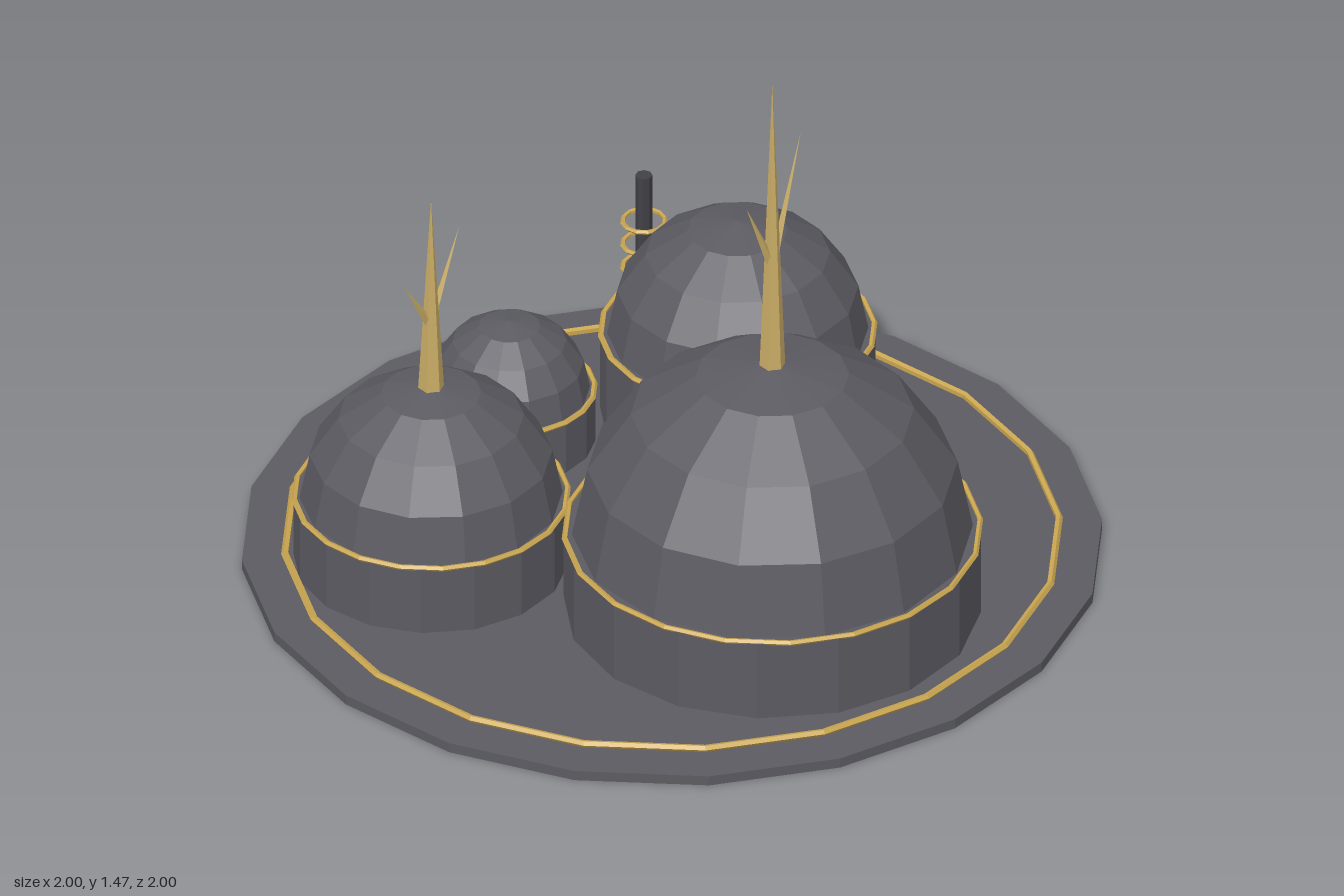
import * as THREE from 'three';

const mat = (name, color) => {
  const m = new THREE.MeshStandardMaterial({ color, flatShading: true });
  m.name = name;
  return m;
};

export function createModel() {
  const stone = mat('grey stone', 0x5c5b62);
  const dark = mat('dark metal', 0x404046);
  const gold = mat('gold trim', 0xcaa650);
  const pale = mat('pale gold', 0xc9ac66);
  const model = new THREE.Group();
  model.name = 'domedSettlement';

  const add = (parent, name, geometry, material, x = 0, y = 0, z = 0) => {
    const mesh = new THREE.Mesh(geometry, material);
    mesh.name = name;
    mesh.position.set(x, y, z);
    parent.add(mesh);
    return mesh;
  };
  const ring = (parent, name, radius, tube, sides, x, y, z) =>
    add(parent, name, new THREE.TorusGeometry(radius, tube, 5, sides).rotateX(Math.PI / 2), gold, x, y, z);

  // Ground plate and its inlaid ring
  add(model, 'basePlate', new THREE.CylinderGeometry(1, 1, 0.025, 20), stone, 0, 0.0125, 0);
  ring(model, 'baseRing', 0.9, 0.009, 20, 0, 0.037, 0);

  // Domed buildings: drum wall, half sphere and a gold band at the joint
  const building = (name, x, z, wallRadius, wallTop, domeRadius) => {
    const g = new THREE.Group();
    g.name = name;
    g.position.set(x, 0, z);
    model.add(g);
    const h = wallTop - 0.02;
    add(g, 'wall', new THREE.CylinderGeometry(wallRadius, wallRadius, h, 16), stone, 0, 0.02 + h / 2, 0);
    const dome = new THREE.SphereGeometry(domeRadius, 14, 4, 0, Math.PI * 2, 0, Math.PI / 2);
    add(g, 'dome', dome.rotateY(Math.PI / 2), stone, 0, wallTop, 0);
    ring(g, 'band', wallRadius - 0.002, 0.007, 20, 0, wallTop + 0.002, 0);
    return g;
  };
  const main = building('mainDome', 0, 0.355, 0.485, 0.23, 0.465);
  const right = building('rightDome', -0.47, -0.31, 0.32, 0.2, 0.305);
  building('leftDome', 0.47, -0.31, 0.32, 0.25, 0.303);
  building('rearDome', 0, -0.575, 0.2, 0.16, 0.187);

  // Thin cone running from one point to another
  const spike = (parent, name, from, to, radius, sides) => {
    const a = new THREE.Vector3(...from);
    const dir = new THREE.Vector3(...to).sub(a);
    const length = dir.length();
    const geometry = new THREE.ConeGeometry(radius, length, sides).translate(0, length / 2, 0);
    const mesh = add(parent, name, geometry, pale, ...from);
    mesh.quaternion.setFromUnitVectors(new THREE.Vector3(0, 1, 0), dir.normalize());
  };

  // Branching spires
  spike(main, 'spire', [0, 0.67, 0], [0, 1.47, 0], 0.031, 6);
  spike(main, 'longBranch', [0.005, 0.98, 0], [0.087, 1.295, 0], 0.013, 4);
  spike(main, 'shortBranch', [-0.003, 0.97, 0], [-0.08, 1.155, 0], 0.013, 4);
  spike(right, 'spire', [0, 0.49, 0], [0, 1.02, 0], 0.031, 6);
  spike(right, 'longBranch', [0.004, 0.69, 0], [0.086, 0.905, 0], 0.012, 4);
  spike(right, 'shortBranch', [-0.004, 0.675, 0], [-0.08, 0.805, 0], 0.012, 4);

  // Antenna pole with coil rings at the rim
  const antenna = new THREE.Group();
  antenna.name = 'antenna';
  antenna.position.set(0.57, 0, -0.757);
  model.add(antenna);
  add(antenna, 'pole', new THREE.CylinderGeometry(0.02, 0.02, 0.395, 8), dark, 0, 0.2175, 0);
  for (let i = 0; i < 4; i++) ring(antenna, 'coilRing', 0.05, 0.006, 12, 0, 0.1 + i * 0.0625, 0);

  return model;
}
